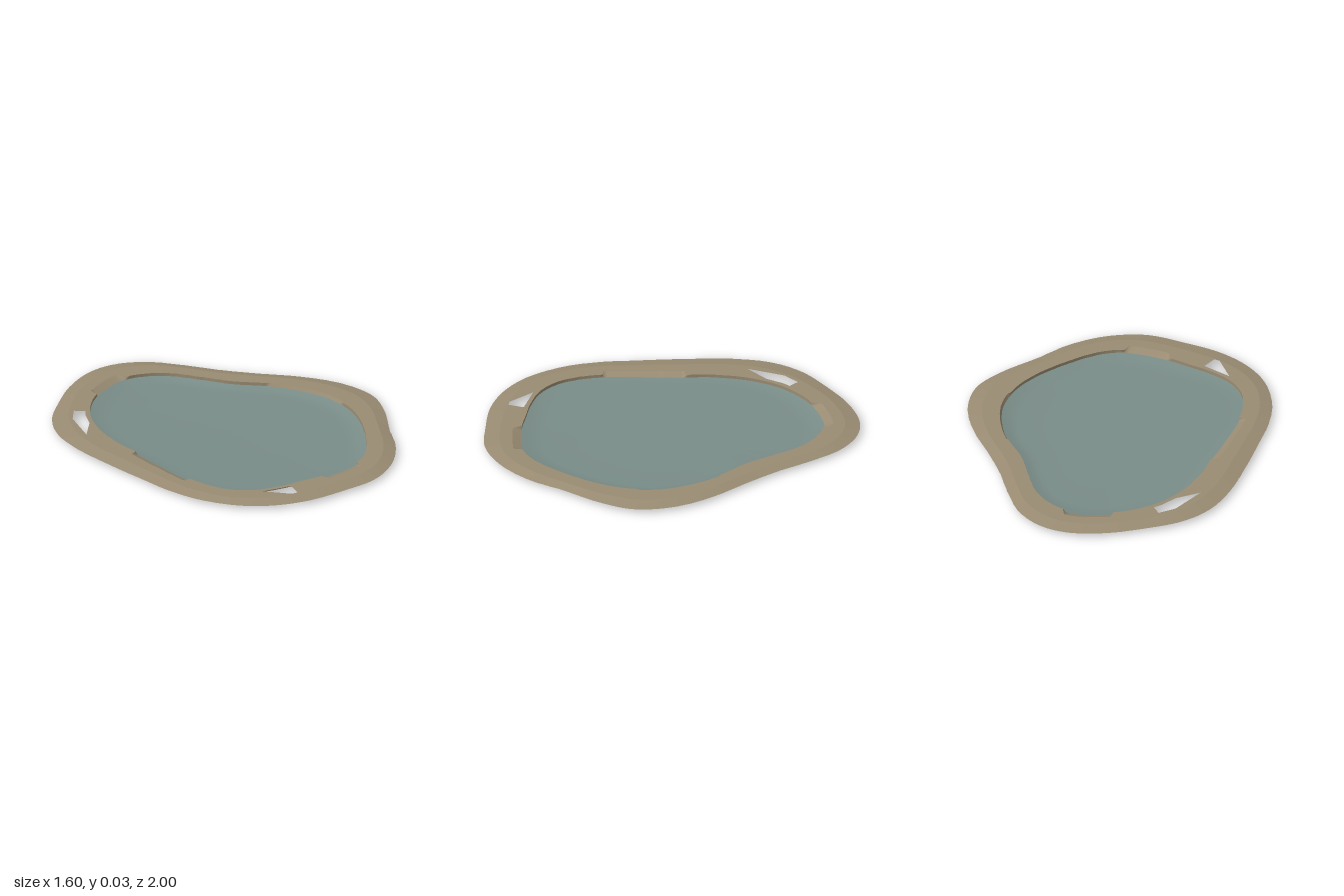
import * as THREE from 'three';

const SEGMENTS = 240;

// Outlines as [x, z] control points, clockwise seen from above
const OUTER = [[0.05, -1], [0.2, -0.96], [0.33, -0.85], [0.42, -0.69], [0.5, -0.5], [0.6, -0.31],
  [0.7, -0.14], [0.77, 0.02], [0.8, 0.18], [0.78, 0.34], [0.68, 0.5], [0.52, 0.67], [0.38, 0.83],
  [0.2, 0.95], [0, 1], [-0.2, 0.965], [-0.42, 0.9], [-0.58, 0.8], [-0.7, 0.66], [-0.78, 0.46],
  [-0.8, 0.27], [-0.785, 0.05], [-0.76, -0.2], [-0.72, -0.45], [-0.65, -0.64], [-0.53, -0.78],
  [-0.36, -0.88], [-0.15, -0.97]];
const INNER = [[0.08, -0.805], [0.2, -0.74], [0.28, -0.65], [0.35, -0.5], [0.42, -0.33], [0.52, -0.17],
  [0.58, -0.02], [0.61, 0.15], [0.58, 0.33], [0.5, 0.48], [0.35, 0.65], [0.2, 0.77], [0.08, 0.81],
  [-0.15, 0.78], [-0.28, 0.735], [-0.4, 0.69], [-0.52, 0.62], [-0.6, 0.52], [-0.635, 0.4], [-0.64, 0.26],
  [-0.605, 0.03], [-0.57, -0.15], [-0.555, -0.28], [-0.53, -0.37], [-0.5, -0.455], [-0.44, -0.565],
  [-0.36, -0.66], [-0.25, -0.74], [-0.16, -0.78], [0, -0.81]];
// Gaps right through the bank
const GAPS = [
  [[-0.58, -0.5], [-0.46, -0.58], [-0.4, -0.66], [-0.365, -0.69], [-0.4, -0.74], [-0.48, -0.68]],
  [[-0.51, 0.66], [-0.36, 0.735], [-0.4, 0.81], [-0.43, 0.8]],
];

// Smooth closed outline resampled at even angles: returns a radius for every segment
function radii(points) {
  const curve = new THREE.CatmullRomCurve3(points.map(([x, z]) => new THREE.Vector3(x, 0, z)), true);
  const samples = curve.getPoints(800)
    .map((p) => ({ a: (Math.atan2(p.z, p.x) + Math.PI * 2) % (Math.PI * 2), r: Math.hypot(p.x, p.z) }))
    .sort((p, q) => p.a - q.a);
  return Array.from({ length: SEGMENTS }, (_, k) => {
    const a = (k / SEGMENTS) * Math.PI * 2;
    const next = samples.find((s) => s.a >= a) || samples[0];
    return next.r;
  });
}

// Ring of vectors from a radius rule and a height rule
function ring(radius, height) {
  return Array.from({ length: SEGMENTS }, (_, k) => {
    const a = (k / SEGMENTS) * Math.PI * 2;
    const x = Math.cos(a) * radius(k);
    const z = Math.sin(a) * radius(k);
    return new THREE.Vector3(x, height(x, z), z);
  });
}

// Skin between rings listed from the outside in
function loft(rings) {
  const geometry = new THREE.BufferGeometry().setFromPoints(rings.flat());
  const index = [];
  for (let i = 0; i < rings.length - 1; i++) {
    for (let k = 0; k < SEGMENTS; k++) {
      const n = (k + 1) % SEGMENTS;
      const a = i * SEGMENTS + k, a2 = i * SEGMENTS + n;
      const b = a + SEGMENTS, b2 = a2 + SEGMENTS;
      index.push(a, b, a2, a2, b, b2);
    }
  }
  geometry.setIndex(index);
  geometry.computeVertexNormals();
  return geometry;
}

export function createModel() {
  const group = new THREE.Group();
  group.name = 'pond';
  const bankMaterial = new THREE.MeshStandardMaterial({ color: 0x9a8c73, side: THREE.DoubleSide });
  bankMaterial.name = 'sandy bank';
  const waterMaterial = new THREE.MeshStandardMaterial({ color: 0x7a8d88, side: THREE.DoubleSide });
  waterMaterial.name = 'grey green water';

  const add = (name, geometry, material) => {
    const mesh = new THREE.Mesh(geometry, material);
    mesh.name = name;
    group.add(mesh);
  };

  const outer = radii(OUTER);
  const inner = radii(INNER);
  const top = 0.033;

  // The lip is set back in four stretches, where the bank slopes down to the water
  const setback = (k) => {
    const a = (k / SEGMENTS) * Math.PI * 2;
    const x = Math.cos(a) * inner[k];
    const z = Math.sin(a) * inner[k];
    if (Math.abs(z) > 0.7 && x > -0.16 && x < 0.085) return 0.045;
    if (x < -0.5 && z > -0.16 && z < 0.26) return 0.04;
    if (x > 0.5 && z > -0.17 && z < 0.27) return 0.01;
    return 0;
  };

  const outerEdge = ring((k) => outer[k], () => 0.019);
  const crest = ring((k) => THREE.MathUtils.lerp(outer[k], inner[k], 0.42), () => top);
  const lip = ring((k) => inner[k] + setback(k), () => top);
  const waterline = ring((k) => inner[k], () => 0.016);

  // Bank: outer slope, flat top with gaps, inner wall
  add('bankOuterSlope', loft([outerEdge, crest]), bankMaterial);
  const flat = (points) => points.map((p) => new THREE.Vector2(p.x, -p.z));
  const topShape = new THREE.Shape(flat(crest));
  topShape.holes.push(new THREE.Path(flat(lip)));
  for (const gap of GAPS) {
    topShape.holes.push(new THREE.Path(gap.map(([x, z]) => new THREE.Vector2(x, -z))));
  }
  add('bankTop', new THREE.ShapeGeometry(topShape).rotateX(-Math.PI / 2).translate(0, top, 0), bankMaterial);
  add('bankInnerWall', loft([lip, waterline]), bankMaterial);

  // Water: shallow dish, shallower towards its right side
  const floor = (x) => 0.012 * THREE.MathUtils.clamp((-0.1 - x) / 0.5, 0, 1);
  const water = [waterline];
  for (const [scale, rise] of [[0.94, 0.007], [0.86, 0], [0.6, 0], [0.3, 0], [0.001, 0]]) {
    water.push(ring((k) => inner[k] * scale, (x) => Math.max(floor(x), rise)));
  }
  add('water', loft(water), waterMaterial);

  return group;
}
